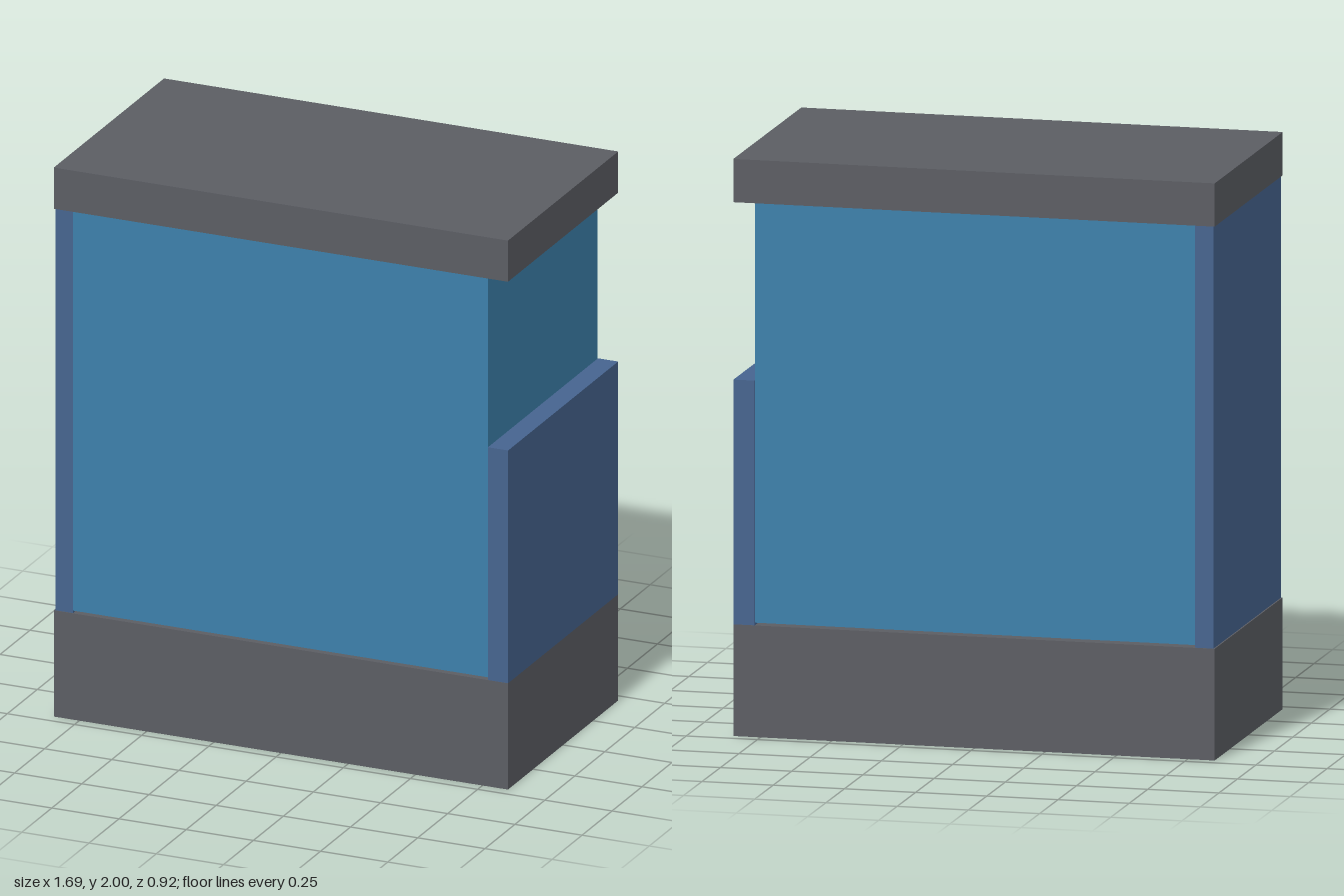
import * as THREE from 'three';

export function createModel() {
  const model = new THREE.Group();
  const make = (name, color, side = THREE.FrontSide) => {
    const m = new THREE.MeshStandardMaterial({ color, side });
    m.name = name;
    return m;
  };
  const grey = make('slateGrey', 0x5b5d63);
  const greyShell = grey.clone();
  greyShell.side = THREE.DoubleSide;
  const blue = make('skyBlue', 0x3c80ab);
  const navy = make('denimBlue', 0x46648f);

  // Box from its x and y limits, centred in depth
  const block = (name, x0, x1, y0, y1, depth, material) => {
    const mesh = new THREE.Mesh(new THREE.BoxGeometry(x1 - x0, y1 - y0, depth), material);
    mesh.position.set((x0 + x1) / 2, (y0 + y1) / 2, 0);
    mesh.name = name;
    model.add(mesh);
    return mesh;
  };

  // Hollow plinth: a box shell left open underneath
  const plinth = block('plinth', -0.845, 0.845, 0, 0.387, 0.92, greyShell);
  const index = Array.from(plinth.geometry.index.array);
  index.splice(18, 6); // drops the bottom face
  plinth.geometry.setIndex(index);
  plinth.geometry.clearGroups();

  // Cabinet body, resting on a small spacer just above the plinth
  block('spacer', -0.31, 0, 0.387, 0.396, 0.4, grey);
  block('body', -0.775, 0.77, 0.396, 1.85, 0.914, blue);

  // Side panels: one full height, one stopping short
  block('tallSidePanel', -0.84, -0.775, 0.387, 1.85, 0.914, navy);
  block('shortSidePanel', 0.77, 0.845, 0.387, 1.235, 0.918, navy);

  // Top slab
  block('topSlab', -0.845, 0.845, 1.85, 2, 0.92, grey);
  return model;
}
